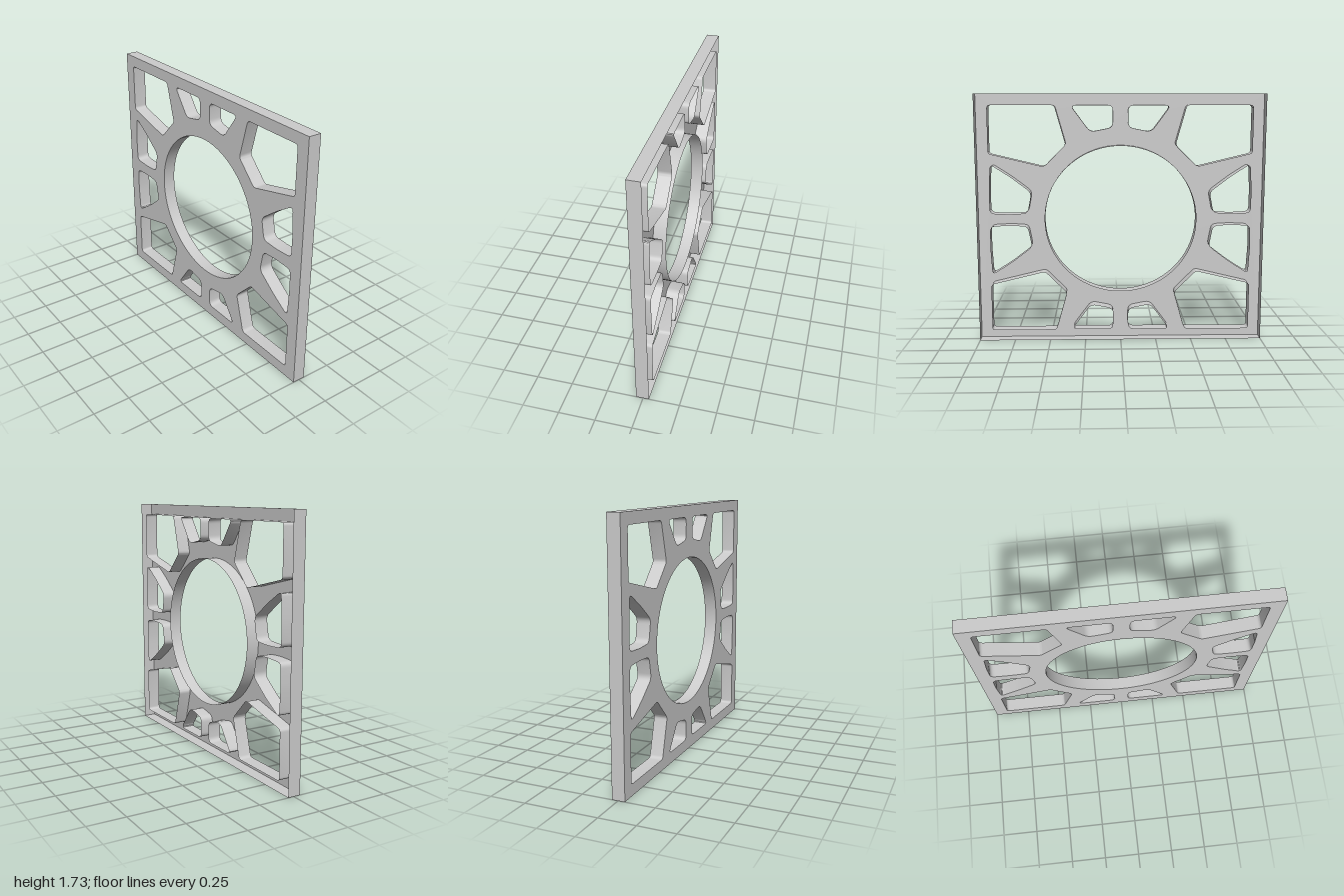
import * as THREE from 'three';
import { toCreasedNormals } from 'three/addons/utils/BufferGeometryUtils.js';

const CY = 0.867;          // height of the panel centre
const FRONT = 0.047;       // face sheet
const SKIRT = -0.041;      // rear edge of outer skirt and ring wall
const HOLE_BACK = -0.047;  // rear edge of the window walls

// Closed outline with every corner rounded by a small quadratic curve
function roundedOutline(corners, r, steps = 5) {
  const v = corners.map(([x, y]) => new THREE.Vector2(x, y));
  const out = [];
  v.forEach((p, i) => {
    const prev = v[(i + v.length - 1) % v.length], next = v[(i + 1) % v.length];
    const toward = (q) => p.clone().add(q.clone().sub(p).setLength(Math.min(r, p.distanceTo(q) * 0.45)));
    out.push(...new THREE.QuadraticBezierCurve(toward(prev), p, toward(next)).getPoints(steps));
  });
  return out;
}

// Thin wall running back from an outline
function wallGeometry(points, zBack) {
  const pos = [];
  points.forEach((a, i) => {
    const b = points[(i + 1) % points.length];
    pos.push(a.x, a.y, FRONT, a.x, a.y, zBack, b.x, b.y, zBack);
    pos.push(a.x, a.y, FRONT, b.x, b.y, zBack, b.x, b.y, FRONT);
  });
  const g = new THREE.BufferGeometry();
  g.setAttribute('position', new THREE.Float32BufferAttribute(pos, 3));
  return toCreasedNormals(g, 0.5);
}

// One quadrant of windows, relative to the panel centre
const WINDOWS = [
  { name: 'cornerWindow', r: 0.022,
    pts: [[0.454, 0.79], [0.91, 0.79], [0.91, 0.459], [0.53, 0.368], [0.378, 0.52]] },
  { name: 'topWindow', r: 0.038,
    pts: [[0.053, 0.788], [0.345, 0.788], [0.21, 0.606], [0.053, 0.637]] },
  { name: 'sideWindow', r: 0.034,
    pts: [[0.907, 0.045], [0.909, 0.2], [0.898, 0.388], [0.76, 0.3], [0.618, 0.192], [0.646, 0.045], [0.77, 0.038]] },
];

export function createModel() {
  const group = new THREE.Group();
  const material = new THREE.MeshStandardMaterial({ color: 0xcccccc, side: THREE.DoubleSide });
  const add = (name, geometry) => {
    const mesh = new THREE.Mesh(geometry, material);
    mesh.name = name;
    mesh.position.y = CY;
    group.add(mesh);
  };

  // Outer rectangle
  const border = [[-1, -CY], [1, -CY], [1, CY], [-1, CY]].map(([x, y]) => new THREE.Vector2(x, y));
  const face = new THREE.Shape(border);
  add('outerSkirt', wallGeometry(border, SKIRT));

  // Cut an opening in the face and line it with a wall
  const cut = (name, points, zBack) => {
    if (!THREE.ShapeUtils.isClockWise(points)) points.reverse();
    face.holes.push(new THREE.Path(points));
    add(name, wallGeometry(points, zBack));
  };

  // Large central opening, slightly wider than tall
  const ring = new THREE.EllipseCurve(0, 0, 0.529, 0.513).getPoints(72).slice(0, -1);
  cut('centreRingWall', ring, SKIRT);

  // Windows mirrored into all four quadrants
  for (const sx of [1, -1]) for (const sy of [1, -1]) {
    for (const { name, r, pts } of WINDOWS) {
      const outline = roundedOutline(pts.map(([x, y]) => [x * sx, y * sy]), r);
      cut(name + 'Wall', outline, HOLE_BACK);
    }
  }

  // Front sheet
  const sheet = new THREE.ShapeGeometry(face);
  sheet.translate(0, 0, FRONT);
  add('faceSheet', sheet);
  return group;
}
